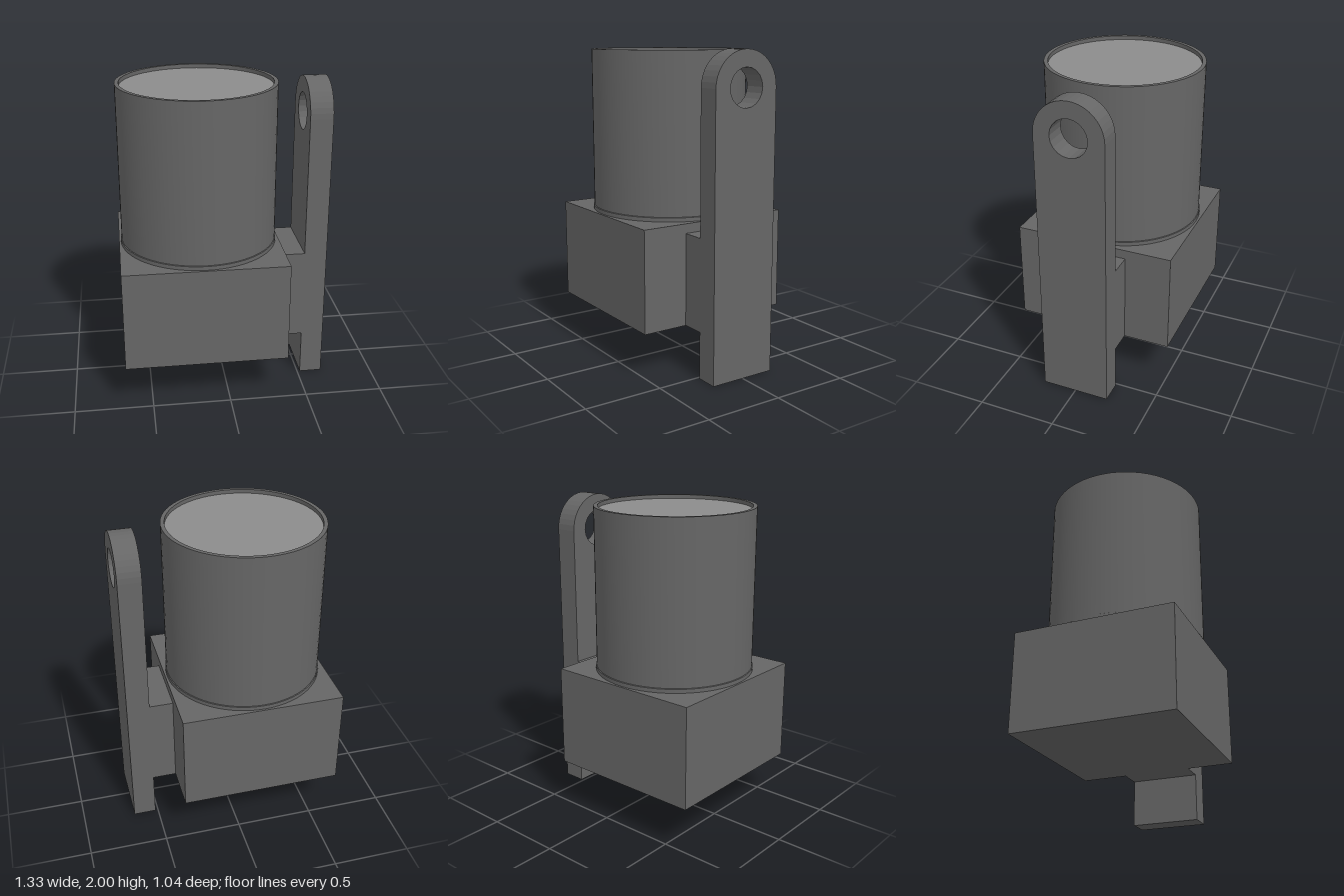
import * as THREE from 'three';
import { toCreasedNormals } from 'three/addons/utils/BufferGeometryUtils.js';

export function createModel() {
  const group = new THREE.Group();
  const bodyMat = new THREE.MeshStandardMaterial({ color: 0x666666 });
  const lensMat = new THREE.MeshStandardMaterial({ color: 0x8c8c8c });
  const axisX = -0.15;

  const add = (name, geometry, material, x = 0, y = 0) => {
    const mesh = new THREE.Mesh(geometry, material);
    mesh.name = name;
    mesh.position.set(x, y, 0);
    group.add(mesh);
  };

  // Square base block and the short arm joining it to the mounting plate
  add('baseBlock', new THREE.BoxGeometry(1.034, 0.65, 1.036), bodyMat, axisX, 0.625);
  add('connectingArm', new THREE.BoxGeometry(0.155, 0.59, 0.442), bodyMat, 0.4435, 0.595);

  // Round housing with a slim foot and a recessed top
  const profile = [
    [0.505, 0.95], [0.505, 0.975], [0.5, 0.978], [0.5, 1.99], [0.475, 1.99], [0.475, 1.95],
  ].map(([r, y]) => new THREE.Vector2(r, y));
  add('housing', toCreasedNormals(new THREE.LatheGeometry(profile, 64), 0.5), bodyMat, axisX);

  // Flat disc sitting just below the rim
  add('topDisc', new THREE.CylinderGeometry(0.476, 0.476, 0.02, 64), lensMat, axisX, 1.955);

  // Upright mounting plate with rounded top and a hole
  const half = 0.221, holeY = 1.78;
  const outline = new THREE.Shape();
  outline.moveTo(-half, 0);
  outline.lineTo(half, 0);
  outline.lineTo(half, holeY);
  outline.absarc(0, holeY, half, 0, Math.PI, false);
  outline.closePath();
  const hole = new THREE.Path();
  hole.absarc(0, holeY, 0.118, 0, Math.PI * 2, true);
  outline.holes.push(hole);
  const plate = new THREE.ExtrudeGeometry(outline, { depth: 0.145, bevelEnabled: false, curveSegments: 10 });
  plate.rotateY(Math.PI / 2);
  add('mountingPlate', plate, bodyMat, 0.518);

  return group;
}
